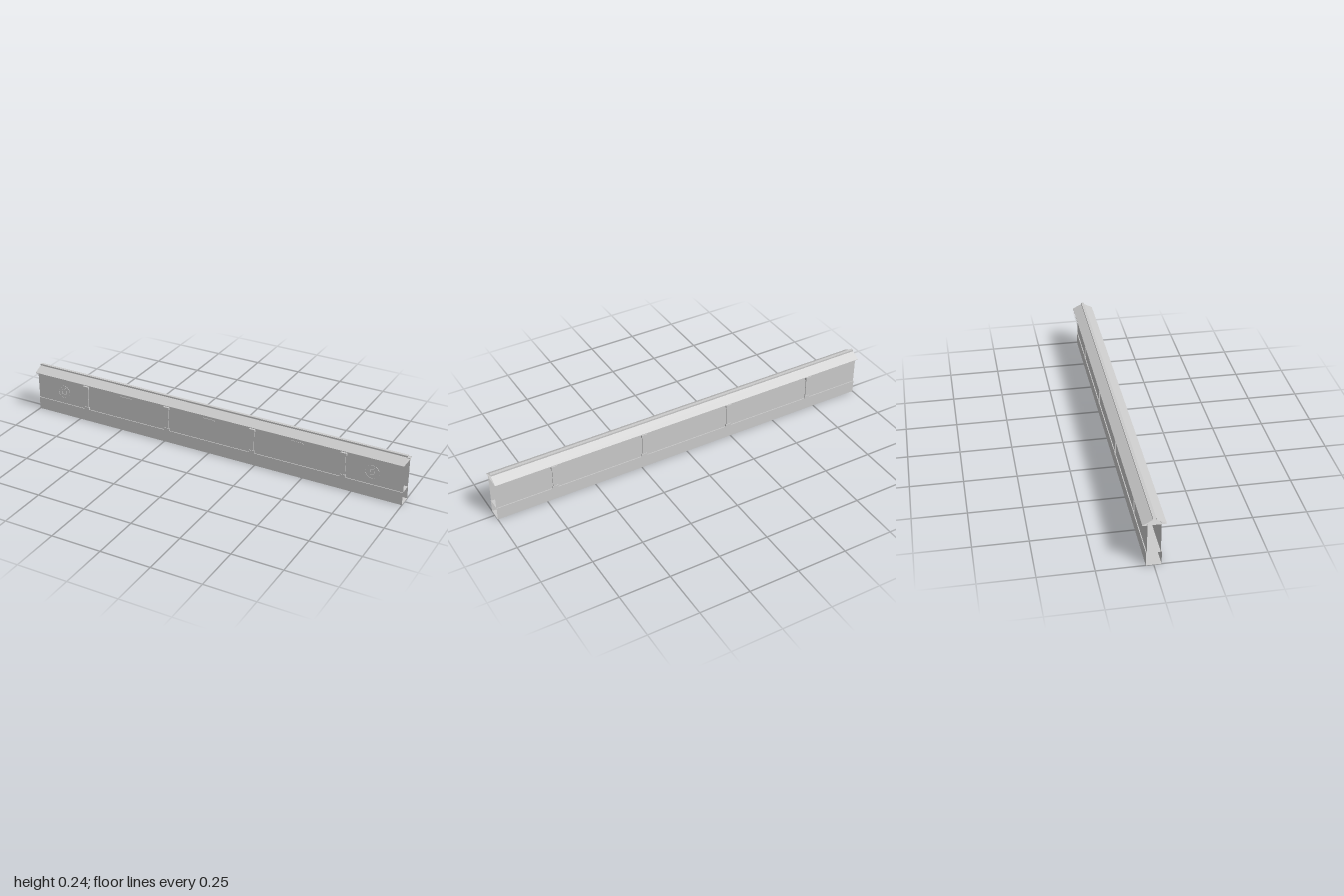
import * as THREE from 'three';

const material = new THREE.MeshStandardMaterial({ color: 0xcccccc, flatShading: true, side: THREE.DoubleSide });

function addMesh(parent, name, geometry, x = 0, y = 0, z = 0) {
  const mesh = new THREE.Mesh(geometry, material);
  mesh.name = name;
  mesh.position.set(x, y, z);
  parent.add(mesh);
  return mesh;
}

// Sweep a [z, y] section along x, leaving both ends open.
// Points run from the front up and over to the back.
function sweep(section, closed) {
  const pos = [];
  const count = closed ? section.length : section.length - 1;
  for (let i = 0; i < count; i++) {
    const [z0, y0] = section[i];
    const [z1, y1] = section[(i + 1) % section.length];
    pos.push(-1, y0, z0, 1, y0, z0, 1, y1, z1);
    pos.push(-1, y0, z0, 1, y1, z1, -1, y1, z1);
  }
  const geometry = new THREE.BufferGeometry();
  geometry.setAttribute('position', new THREE.Float32BufferAttribute(pos, 3));
  geometry.computeVertexNormals();
  return geometry;
}

// Pilaster with base, shaft and capital; its back lies at z = 0
function pilaster(name) {
  const group = new THREE.Group();
  group.name = name;
  const block = (part, w, y0, y1, d) =>
    addMesh(group, part, new THREE.BoxGeometry(w, y1 - y0, d), 0, (y0 + y1) / 2, d / 2);
  block('base', 0.028, 0.066, 0.079, 0.007);
  block('shaft', 0.02, 0.079, 0.181, 0.0045);
  block('capital', 0.03, 0.181, 0.195, 0.0105);
  return group;
}

// Round ornament: a flat ring around a symmetrical lattice
function medallion() {
  const group = new THREE.Group();
  group.name = 'medallion';
  const ring = new THREE.Shape().absarc(0, 0, 0.037, 0, Math.PI * 2);
  ring.holes.push(new THREE.Path().absarc(0, 0, 0.031, 0, Math.PI * 2, true));
  addMesh(group, 'ring', new THREE.ExtrudeGeometry(ring, { depth: 0.002, bevelEnabled: false, curveSegments: 16 }));
  for (const s of [-1, 1]) {
    addMesh(group, 'uprightBar', new THREE.BoxGeometry(0.005, 0.05, 0.002), s * 0.011, 0, 0.001);
    addMesh(group, 'crossBar', new THREE.BoxGeometry(0.018, 0.004, 0.002), 0, s * 0.013, 0.001);
  }
  return group;
}

export function createModel() {
  const model = new THREE.Group();
  model.name = 'boundaryWall';

  // Hollow plinth and the two wall faces above it
  addMesh(model, 'plinth', sweep([[0.034, 0], [0.034, 0.065], [-0.034, 0.065], [-0.034, 0]], true));
  addMesh(model, 'frontWall', sweep([[0.03, 0.065], [0.03, 0.212]], false));
  addMesh(model, 'backWall', sweep([[-0.03, 0.212], [-0.03, 0.065]], false));

  // Pitched coping with a raised ridge
  addMesh(model, 'copingRoof', sweep([
    [0.052, 0.209], [0.052, 0.212], [0.007, 0.235], [0.007, 0.243],
    [-0.007, 0.243], [-0.007, 0.235], [-0.052, 0.212], [-0.052, 0.209],
  ], true));

  // Pilasters on both faces
  for (const x of [-0.705, -0.235, 0.235, 0.705]) {
    const front = pilaster('frontPilaster');
    front.position.set(x, 0, 0.03);
    const back = pilaster('backPilaster');
    back.position.set(x, 0, -0.03);
    back.rotation.y = Math.PI;
    model.add(front, back);
  }

  // Front ornaments
  for (const x of [-0.845, 0.845]) {
    const ornament = medallion();
    ornament.position.set(x, 0.128, 0.0305);
    model.add(ornament);
  }
  for (const x of [-0.47, 0, 0.47]) {
    addMesh(model, 'frontPanelStrip', new THREE.BoxGeometry(0.065, 0.006, 0.002), x, 0.183, 0.031);
  }
  return model;
}
